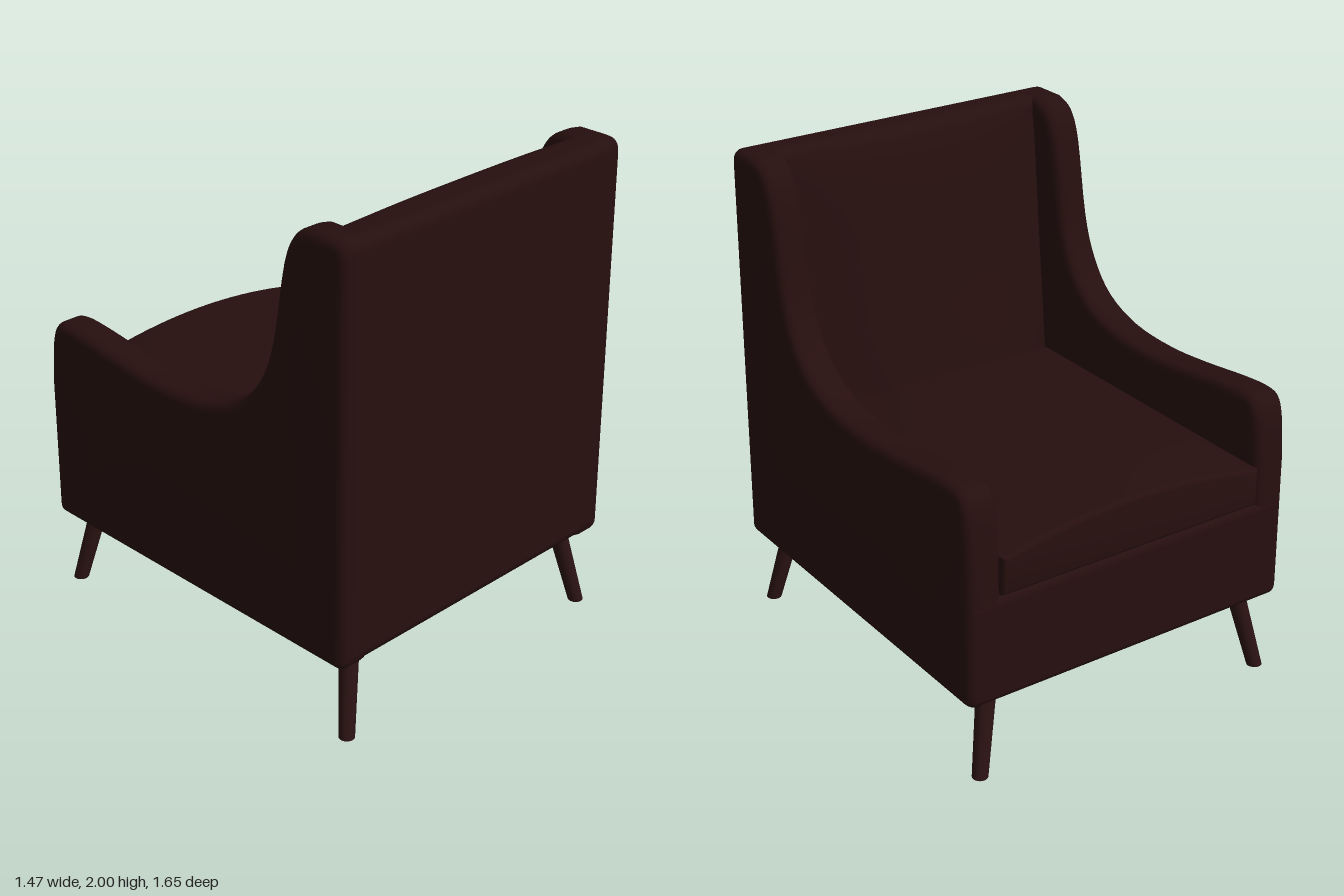
import * as THREE from 'three';
import { toCreasedNormals } from 'three/addons/utils/BufferGeometryUtils.js';
import { RoundedBoxGeometry } from 'three/addons/geometries/RoundedBoxGeometry.js';

const vec = (pts) => pts.map(([x, y]) => new THREE.Vector2(x, y));

// Moves every vertex by a rule, then smooths the normals below the crease angle
function finish(geometry, rule, crease = 0.7) {
  const p = geometry.attributes.position;
  const v = new THREE.Vector3();
  for (let i = 0; i < p.count; i++) {
    v.fromBufferAttribute(p, i);
    rule(v);
    p.setXYZ(i, v.x, v.y, v.z);
  }
  return toCreasedNormals(geometry, crease);
}

export function createModel() {
  const chair = new THREE.Group();
  chair.name = 'armchair';
  const upholstery = new THREE.MeshStandardMaterial({ name: 'dark brown upholstery', color: 0x260f0e });
  const wood = new THREE.MeshStandardMaterial({ name: 'dark wood', color: 0x2b1312 });

  const add = (name, geometry, material = upholstery) => {
    const mesh = new THREE.Mesh(geometry, material);
    mesh.name = name;
    chair.add(mesh);
    return mesh;
  };
  const roundedBox = (name, [x0, x1], [y0, y1], [z0, z1], r) =>
    add(name, new RoundedBoxGeometry(x1 - x0, y1 - y0, z1 - z0, 4, r))
      .position.set((x0 + x1) / 2, (y0 + y1) / 2, (z0 + z1) / 2);

  // Arms with wings: side outline (z, y) extruded across x with a soft bevel
  const sweep = new THREE.SplineCurve(vec([
    [0.64, 2.0], [0.565, 1.96], [0.51, 1.84], [0.455, 1.53], [0.39, 1.36], [0.28, 1.235], [0.1, 1.165],
    [-0.12, 1.148], [-0.33, 1.162], [-0.58, 1.193], [-0.71, 1.2], [-0.77, 1.178], [-0.8, 1.1], [-0.815, 0.94],
  ]));
  const outline = new THREE.Shape();
  outline.moveTo(0.82, 0.37);
  outline.lineTo(0.82, 1.94);
  outline.quadraticCurveTo(0.82, 2.0, 0.76, 2.0);
  sweep.getPoints(52).forEach((p) => outline.lineTo(p.x, p.y));
  outline.lineTo(-0.818, 0.37);
  outline.quadraticCurveTo(-0.818, 0.325, -0.775, 0.325);
  outline.lineTo(0.775, 0.325);
  outline.quadraticCurveTo(0.82, 0.325, 0.82, 0.37);
  const bevel = 0.04;
  const armWidth = 0.15;
  for (const [name, side] of [['leftArm', 1], ['rightArm', -1]]) {
    const arm = new THREE.ExtrudeGeometry(outline, {
      depth: armWidth - 2 * bevel, curveSegments: 6, bevelEnabled: true,
      bevelThickness: bevel, bevelSize: bevel, bevelOffset: -bevel, bevelSegments: 5,
    });
    arm.translate(0, 0, bevel - armWidth / 2).rotateY(-Math.PI / 2).translate(side * 0.66, 0, 0);
    // The outer side leans in slightly towards the top
    add(name, finish(arm, (v) => {
      if (Math.abs(v.x) > 0.66) v.x -= side * 0.01 * Math.max(0, (v.y - 0.9) / 1.1);
    }));
  }

  // Seat base and rear panel
  roundedBox('seatBase', [-0.73, 0.73], [0.325, 0.765], [-0.818, 0.81], 0.035);
  roundedBox('rearPanel', [-0.722, 0.722], [0.33, 1.998], [0.66, 0.823], 0.05);

  // Backrest: (z, y) profile swept across x, hollowing back towards the wings
  const backProfile = new THREE.Shape(vec([[0.8, 0.6], [0.8, 1.96], [0.77, 1.995], [0.7, 2.0]]));
  new THREE.SplineCurve(vec([
    [0.7, 2.0], [0.66, 1.985], [0.63, 1.94], [0.595, 1.8], [0.525, 1.4], [0.46, 1.05], [0.43, 0.85], [0.42, 0.6],
  ])).getPoints(24).slice(1).forEach((p) => backProfile.lineTo(p.x, p.y));
  const back = new THREE.ExtrudeGeometry(backProfile, { depth: 1.2, steps: 24, bevelEnabled: false });
  back.translate(0, 0, -0.6).rotateY(-Math.PI / 2);
  add('backrest', finish(back, (v) => {
    if (v.z < 0.7) v.z += 0.5 * (0.7 - v.z) * Math.abs(v.x / 0.6) ** 2.6;
  }));

  // Seat cushion: crowned front section extruded to the backrest
  const crown = new THREE.Shape();
  crown.moveTo(-0.59, 0.765);
  crown.lineTo(0.59, 0.765);
  crown.lineTo(0.59, 0.92);
  for (let i = 1; i <= 20; i++) {
    const u = 1 - i / 10;
    crown.lineTo(0.59 * u, 0.92 + 0.07 * (1 - u * u));
  }
  const cushion = new THREE.ExtrudeGeometry(crown, {
    depth: 1.34, bevelEnabled: true, bevelThickness: 0.025, bevelSize: 0.02, bevelOffset: -0.02, bevelSegments: 4,
  });
  cushion.translate(0, 0, -0.802);
  add('seatCushion', finish(cushion, () => {}));

  // Splayed, tapered legs with level feet
  for (const sx of [1, -1]) {
    for (const sz of [1, -1]) {
      const leg = new THREE.CylinderGeometry(0.039, 0.031, 0.35, 20).translate(0, 0.175, 0);
      add((sz > 0 ? 'rear' : 'front') + (sx > 0 ? 'LeftLeg' : 'RightLeg'), finish(leg, (v) => {
        const t = v.y / 0.33;
        v.x += sx * (0.665 - 0.07 * t);
        v.z += sz * (0.78 - 0.06 * t);
      }), wood);
    }
  }
  return chair;
}
